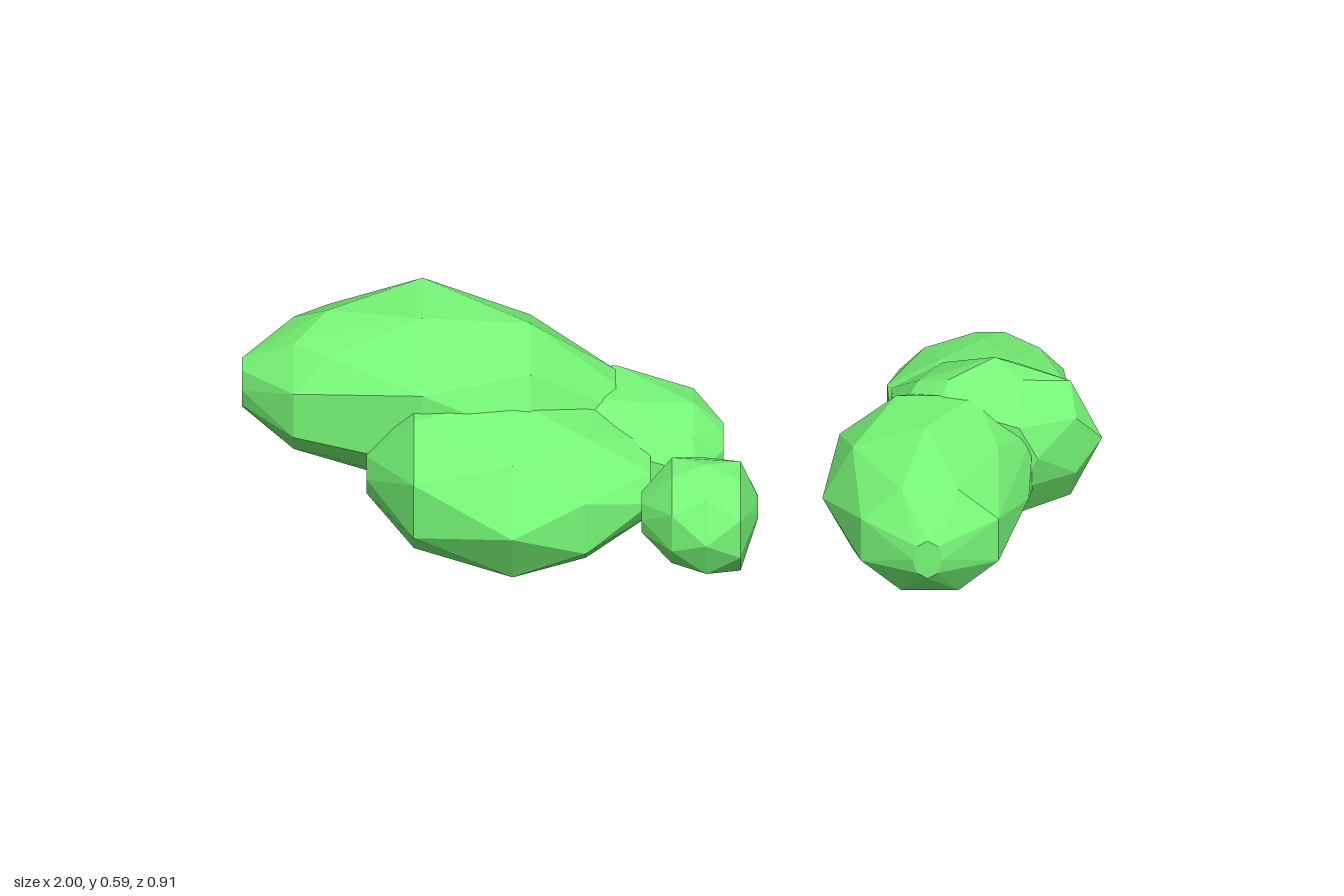
import * as THREE from 'three';
import { ConvexGeometry } from 'three/addons/geometries/ConvexGeometry.js';

const leaf = new THREE.MeshStandardMaterial({ color: 0x77f877, flatShading: true });
const SIDES = 8;

// One faceted lobe: the hull of oval rings strung along x or z.
// Each ring is [position, side min, side max, y min, y max]; alternate rings
// are turned half a step and widened so their flats meet the given limits.
function lobe(name, axis, rings) {
  const points = [];
  rings.forEach(([t, s0, s1, y0, y1], i) => {
    const turn = i % 2 ? 0.5 : 0;
    const grow = turn ? 1 / Math.cos(Math.PI / SIDES) : 1;
    for (let k = 0; k < SIDES; k++) {
      const a = ((k + turn) / SIDES) * Math.PI * 2;
      const side = (s0 + s1) / 2 + (Math.cos(a) * grow * (s1 - s0)) / 2;
      const y = (y0 + y1) / 2 + (Math.sin(a) * grow * (y1 - y0)) / 2;
      points.push(axis === 'x' ? new THREE.Vector3(t, y, side) : new THREE.Vector3(side, y, t));
    }
  });
  const mesh = new THREE.Mesh(new ConvexGeometry(points), leaf);
  mesh.name = name;
  return mesh;
}

function bush(name, ...lobes) {
  const group = new THREE.Group();
  group.name = name;
  group.add(...lobes);
  return group;
}

export function createModel() {
  const model = new THREE.Group();
  model.name = 'bushes';

  // Wide bush with a tall rear lobe and a small sprig at its side
  model.add(bush('wideBush',
    lobe('upperLobe', 'x', [
      [-1.0, -0.11, -0.03, 0.3, 0.43],
      [-0.88, -0.23, 0.08, 0.22, 0.5],
      [-0.8, -0.25, 0.1, 0.18, 0.555],
      [-0.58, -0.3, 0.16, 0.14, 0.59],
      [-0.33, -0.24, 0.16, 0.15, 0.54],
      [-0.13, -0.17, 0.0, 0.25, 0.37],
    ]),
    lobe('frontLobe', 'x', [
      [-0.71, 0.0, 0.15, 0.16, 0.3],
      [-0.6, -0.12, 0.32, 0.07, 0.41],
      [-0.37, -0.19, 0.4, 0.0, 0.42],
      [-0.2, -0.17, 0.33, 0.04, 0.36],
      [-0.05, -0.1, 0.23, 0.13, 0.29],
    ]),
    lobe('sideLobe', 'x', [
      [-0.32, -0.22, 0.1, 0.15, 0.36],
      [-0.13, -0.265, 0.13, 0.12, 0.365],
      [0.05, -0.2, 0.13, 0.14, 0.33],
      [0.12, -0.08, 0.04, 0.18, 0.27],
    ]),
    lobe('sprig', 'x', [
      [-0.07, 0.2, 0.28, 0.14, 0.25],
      [0.0, 0.14, 0.36, 0.09, 0.32],
      [0.08, 0.1, 0.39, 0.05, 0.325],
      [0.16, 0.14, 0.36, 0.07, 0.31],
      [0.2, 0.2, 0.25, 0.17, 0.23],
    ])));

  // Narrow bush running from front to back
  model.add(bush('narrowBush',
    lobe('frontLobe', 'z', [
      [0.455, 0.56, 0.63, 0.14, 0.24],
      [0.37, 0.44, 0.76, 0.06, 0.33],
      [0.17, 0.35, 0.83, 0.0, 0.385],
      [0.0, 0.39, 0.84, 0.02, 0.37],
      [-0.14, 0.48, 0.8, 0.08, 0.3],
    ]),
    lobe('middleLobe', 'z', [
      [0.06, 0.56, 0.85, 0.12, 0.35],
      [-0.02, 0.52, 0.94, 0.05, 0.4],
      [-0.075, 0.5, 1.0, 0.0, 0.43],
      [-0.2, 0.51, 0.92, 0.11, 0.345],
    ]),
    lobe('backLobe', 'z', [
      [-0.1, 0.51, 0.93, 0.1, 0.35],
      [-0.22, 0.5, 0.92, 0.11, 0.34],
      [-0.37, 0.53, 0.91, 0.15, 0.31],
      [-0.455, 0.66, 0.82, 0.19, 0.28],
    ])));

  return model;
}
